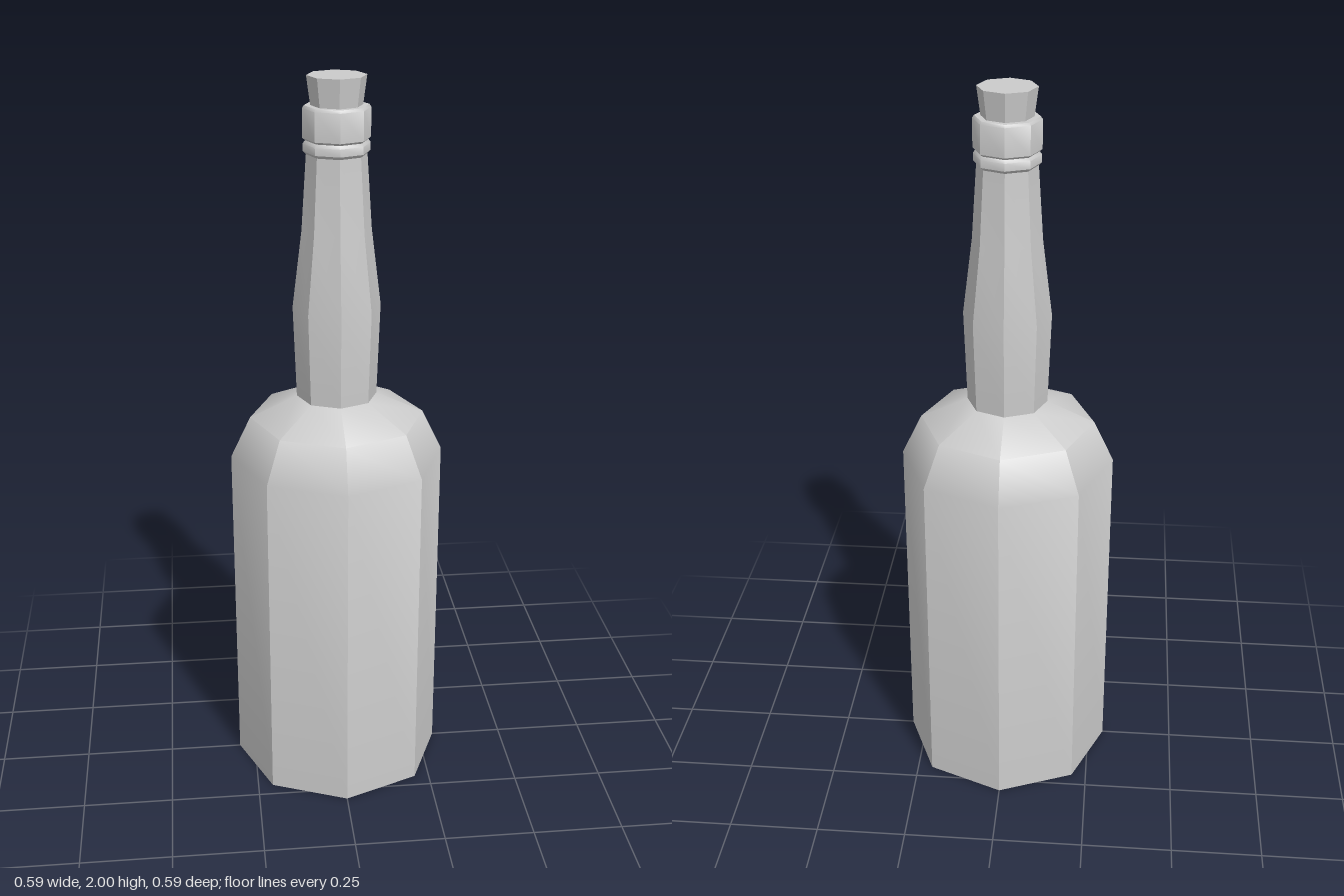
import * as THREE from 'three';
import { toCreasedNormals } from 'three/addons/utils/BufferGeometryUtils.js';

const SIDES = 8;

// Eight-sided turned part from [radius, height] pairs, bottom to top
function turned(name, profile, material) {
  const points = profile.map(([r, y]) => new THREE.Vector2(r, y));
  const geometry = toCreasedNormals(new THREE.LatheGeometry(points, SIDES), 0.7);
  const mesh = new THREE.Mesh(geometry, material);
  mesh.name = name;
  return mesh;
}

export function createModel() {
  const group = new THREE.Group();
  group.name = 'bottle';
  const material = new THREE.MeshStandardMaterial({ color: 0xcccccc });

  // Closed base, straight body and rounded shoulder
  group.add(turned('body', [
    [0, 0], [0.295, 0], [0.295, 0.96], [0.24, 1.075], [0.11, 1.135],
  ], material));

  // Bulging neck that narrows towards the lip
  group.add(turned('neck', [
    [0.11, 1.135], [0.119, 1.39], [0.093, 1.6], [0.08, 1.8],
  ], material));

  // Thin ring below the lip
  group.add(turned('neckRing', [
    [0.08, 1.8], [0.088, 1.808], [0.088, 1.828], [0.082, 1.836],
  ], material));

  // Thick lip with small bevels
  group.add(turned('lip', [
    [0.082, 1.836], [0.089, 1.842], [0.089, 1.918], [0.084, 1.925], [0.066, 1.925],
  ], material));

  // Tapered stopper
  group.add(turned('cork', [
    [0.066, 1.91], [0.078, 2], [0, 2],
  ], material));

  return group;
}
